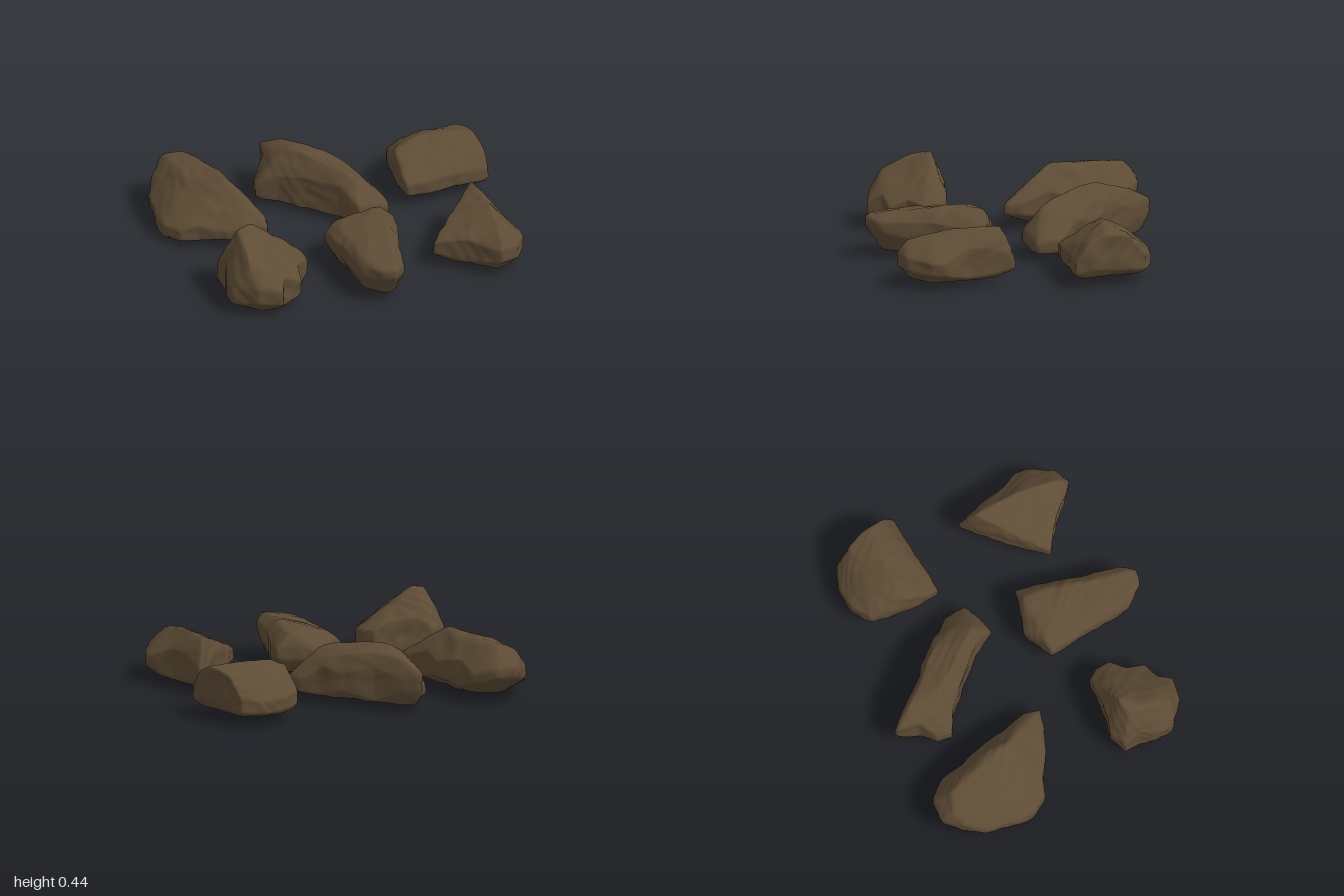
import * as THREE from 'three';
import { mergeVertices } from 'three/addons/utils/BufferGeometryUtils.js';
import { ConvexGeometry } from 'three/addons/geometries/ConvexGeometry.js';

// Each rock: plan outline [x, z, edge height], half thickness of the edge, underside height and size, corner points [x, y, z]
const ROCKS = {
  backLeftRock: {
    outline: [[-.93, -.74, .16], [-.82, -.87, .19], [-.68, -.865, .2], [-.57, -.745, .15], [-.565, -.61, .15], [-.5, -.42, .16],
      [-.5, -.31, .16], [-.435, -.13, .14], [-.46, -.03, .14], [-.58, -.06, .12], [-.74, -.14, .1], [-.83, -.21, .09],
      [-.93, -.245, .08], [-.995, -.35, .08], [-1, -.47, .09], [-.97, -.66, .12]],
    edge: .03, base: .045, taper: .64,
    corners: [[-.83, .32, -.8], [-.72, .34, -.76], [-.67, .3, -.66], [-.8, .33, -.52], [-.6, .34, -.45], [-.62, .37, -.32],
      [-.54, .29, -.22], [-.89, .22, -.4], [-.97, .005, -.4], [-.9, .01, -.5]]
  },
  backMiddleRock: {
    outline: [[-.2, -.86, .2], [-.1, -.755, .17], [0, -.61, .15], [.15, -.46, .14], [.235, -.33, .13], [.315, -.245, .1],
      [.325, -.1, .09], [.27, -.08, .1], [.11, -.045, .13], [.05, -.18, .13], [-.1, -.35, .13], [-.235, -.487, .12],
      [-.34, -.545, .1], [-.32, -.635, .11], [-.235, -.705, .15]],
    edge: .035, base: .05, taper: .84,
    corners: [[-.2, .27, -.8], [-.12, .32, -.72], [-.21, .32, -.57], [-.12, .37, -.5], [-.02, .34, -.58], [0, .345, -.32],
      [.12, .31, -.43], [.2, .265, -.25], [.13, .3, -.16]]
  },
  backRightRock: {
    outline: [[.475, -.195, .12], [.475, -.5, .15], [.515, -.635, .14], [.62, -.7, .13], [.78, -.7, .12], [.895, -.66, .13],
      [.95, -.475, .16], [1, -.315, .16], [1, -.22, .13], [.67, -.205, .12]],
    edge: .035, base: .065, taper: .86,
    corners: [[.49, .29, -.42], [.6, .33, -.43], [.72, .345, -.44], [.85, .335, -.44], [.97, .33, -.4], [.985, .29, -.31],
      [.6, .27, -.58], [.92, .3, -.56]]
  },
  frontLeftRock: {
    outline: [[-.91, .3, .13], [-.8, .255, .16], [-.715, .29, .16], [-.555, .31, .17], [-.45, .31, .17], [-.4, .38, .16],
      [-.4, .47, .15], [-.49, .54, .13], [-.505, .645, .12], [-.62, .67, .12], [-.66, .75, .13], [-.8, .72, .15],
      [-.925, .61, .12], [-.92, .51, .11], [-.89, .4, .12]],
    edge: .045, base: .02, taper: .7,
    corners: [[-.81, .43, .38], [-.71, .44, .365], [-.77, .41, .47], [-.62, .3, .37], [-.5, .23, .39], [-.81, .38, .55],
      [-.83, .32, .65], [-.74, .3, .66], [-.63, .24, .58], [-.7, .005, .4]]
  },
  frontMiddleRock: {
    outline: [[-.19, .2, .17], [-.05, .135, .16], [0, .115, .16], [.085, .145, .16], [.25, .19, .18], [.225, .325, .18],
      [.165, .49, .17], [.12, .65, .18], [.085, .79, .2], [.015, .87, .23], [-.075, .845, .22], [-.155, .73, .18],
      [-.17, .46, .16], [-.18, .325, .16]],
    edge: .025, base: .05, taper: .76,
    corners: [[-.13, .255, .2], [.16, .3, .2], [.15, .295, .34], [-.14, .25, .42], [.09, .3, .5], [0, .3, .3], [-.13, .26, .7],
      [.04, .28, .74]]
  },
  frontRightRock: {
    outline: [[.79, .105, .13], [.805, .22, .13], [.835, .38, .13], [.905, .54, .13], [.9, .62, .13], [.815, .755, .15],
      [.7, .8, .16], [.62, .715, .15], [.54, .62, .14], [.38, .5, .13], [.42, .45, .13], [.565, .3, .14], [.725, .155, .15]],
    edge: .035, base: .045, taper: .76,
    corners: [[.735, .345, .18], [.77, .3, .22], [.68, .32, .3], [.74, .335, .44], [.73, .32, .58], [.71, .275, .73], [.83, .24, .6],
      [.58, .25, .45]]
  }
};

// Distance from centre to the outline along a horizontal unit direction
function outlineReach(outline, cx, cz, dx, dz) {
  let reach = 0;
  outline.forEach(([ax, az], i) => {
    const [bx, bz] = outline[(i + 1) % outline.length];
    const ex = bx - ax, ez = bz - az, det = dx * ez - dz * ex;
    if (Math.abs(det) < 1e-9) return;
    const t = ((ax - cx) * ez - (az - cz) * ex) / det;
    const s = ((ax - cx) * dz - (az - cz) * dx) / det;
    if (t > 0 && s >= -1e-6 && s <= 1 + 1e-6) reach = Math.max(reach, t);
  });
  return reach || Infinity;
}

// Soft lumps and small pits
function weathering({ x, y, z }) {
  const u = x + .04 * Math.sin(z * 17 + y * 9), v = y + .03 * Math.sin(x * 21 - z * 8), w = z + .04 * Math.sin(x * 15 - y * 13);
  const lumps = Math.sin(u * 21 + v * 11) * Math.sin(w * 19 - v * 17 + 1);
  const pits = Math.sin(u * 43 - w * 19) * Math.sin(v * 47 + w * 37);
  return .005 * lumps + .003 * pits;
}

function rockGeometry({ outline, edge, base, taper, corners }) {
  const n = outline.length;
  const cx = outline.reduce((s, p) => s + p[0], 0) / n, cz = outline.reduce((s, p) => s + p[1], 0) / n;
  const top = Math.max(...corners.map(p => p[1]));
  const centre = new THREE.Vector3(cx, (base + top) * .45, cz);

  // Faceted block through edge, underside and corners
  const points = corners.map(p => new THREE.Vector3(...p));
  for (const [x, z, y] of outline) {
    points.push(new THREE.Vector3(x, y - edge, z), new THREE.Vector3(x, y + edge, z));
    points.push(new THREE.Vector3(cx + (x - cx) * taper, base, cz + (z - cz) * taper));
  }
  const hull = new ConvexGeometry(points).attributes.position;
  const planes = [];
  for (let i = 0; i < hull.count; i += 3) {
    const [a, b, c] = [0, 1, 2].map(k => new THREE.Vector3().fromBufferAttribute(hull, i + k));
    const normal = b.clone().sub(a).cross(c.sub(a)).normalize();
    const distance = normal.dot(a.sub(centre));
    const known = planes.some(q => q.normal.dot(normal) > .995 && Math.abs(q.distance - distance) < .004);
    if (distance > 0 && !known) planes.push({ normal, distance });
  }

  // Fine sphere shrunk onto the block with rounded edges
  let geometry = new THREE.IcosahedronGeometry(1, 28);
  geometry.deleteAttribute('normal');
  geometry.deleteAttribute('uv');
  geometry = mergeVertices(geometry, 1e-4);
  const position = geometry.attributes.position, d = new THREE.Vector3(), v = new THREE.Vector3();
  for (let i = 0; i < position.count; i++) {
    d.fromBufferAttribute(position, i).normalize();
    let sum = 0;
    for (const { normal, distance } of planes) {
      const along = normal.dot(d);
      if (along > 0) sum += (along / distance) ** 50;
    }
    v.copy(d).multiplyScalar(1.02 * sum ** (-1 / 50));
    const flat = Math.hypot(v.x, v.z);
    if (flat > 1e-6) {
      const k = Math.min(1, outlineReach(outline, cx, cz, v.x / flat, v.z / flat) / flat);
      v.x *= k;
      v.z *= k;
    }
    v.add(centre);
    v.addScaledVector(d, weathering(v));
    position.setXYZ(i, v.x, Math.max(0, v.y), v.z);
  }
  geometry.computeVertexNormals();
  return geometry;
}

export function createModel() {
  const group = new THREE.Group();
  group.name = 'rocks';
  const stone = new THREE.MeshStandardMaterial({ color: 0x5e4c35 });
  stone.name = 'brown stone';
  for (const [name, shape] of Object.entries(ROCKS)) {
    const rock = new THREE.Mesh(rockGeometry(shape), stone);
    rock.name = name;
    group.add(rock);
  }
  return group;
}
